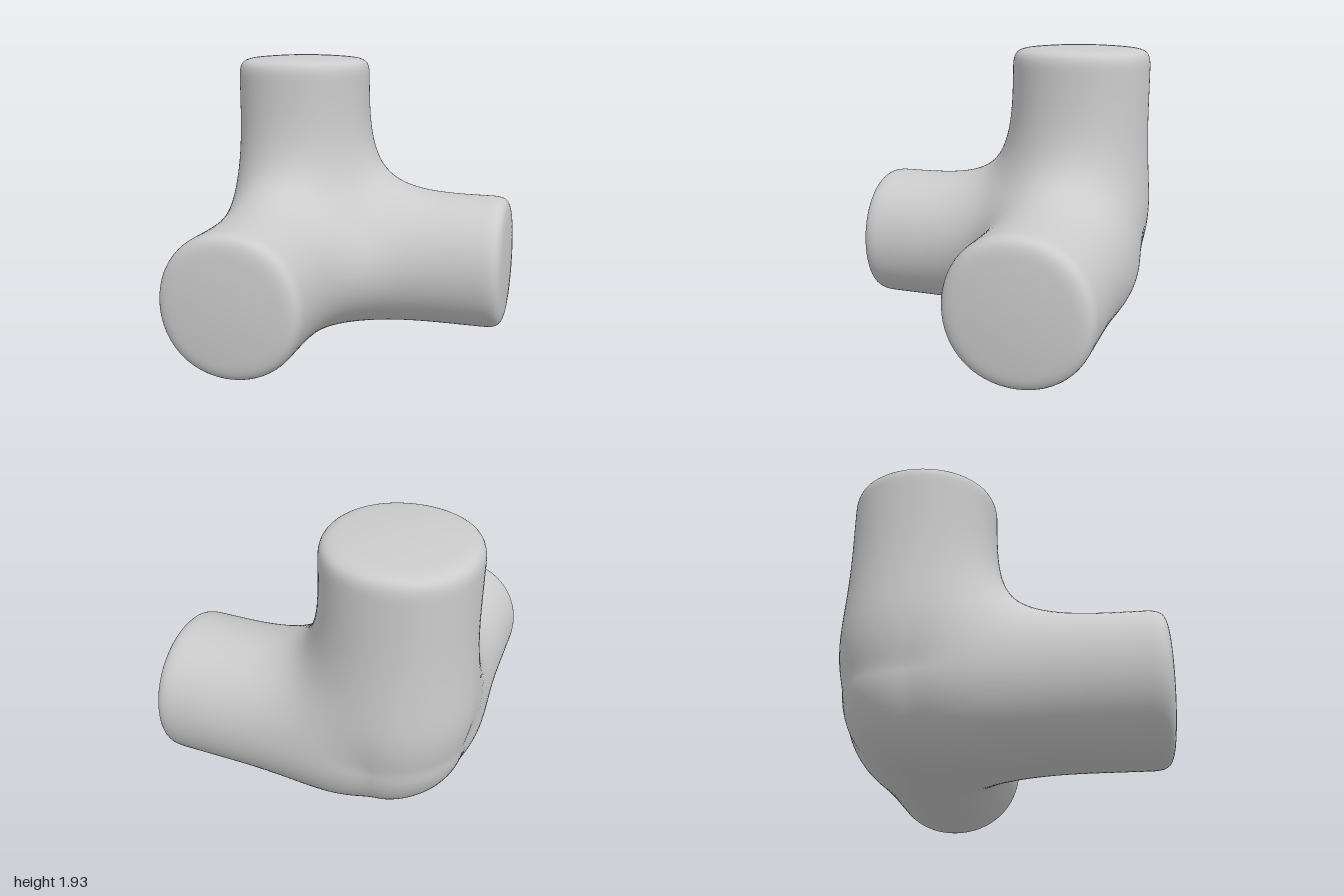
import * as THREE from 'three';

const R = 0.465;                       // pipe radius
const EDGE = 0.14;                     // reach of the soft rounding at the pipe ends
const LENGTHS = [1.515, 1.43, 1.515];  // arms along x, y, z from the corner
const CENTRE = [-0.517, 0.485, -0.517];
const AROUND = 96;

// Cubic rounding amount where two distances differ by diff, reaching as far as k.
const rounding = (diff, k) => k / 6 * (Math.max(k - Math.abs(diff), 0) / k) ** 3;

// Distance and side normal of one arm: slightly squared round section,
// narrowing into a soft knob at the corner.
function arm(p, k) {
  const u = p[k], v = p[(k + 1) % 3], w = p[(k + 2) % 3];
  const rho = Math.hypot(v, w) + 1e-6;
  const back = Math.min(u, 0);
  const len = Math.hypot(rho, back);
  const n = [0, 0, 0];
  n[k] = back / len;
  n[(k + 1) % 3] = v / len;
  n[(k + 2) % 3] = w / len;
  const squared = rho * (1 - 0.06 * (v * w / rho ** 2) ** 2);
  const narrowing = 0.035 * (1 - THREE.MathUtils.smoothstep(u, -0.35, 0.4));
  const side = Math.hypot(squared, 1.1 * back) - R + narrowing;
  const end = u - LENGTHS[k] + 0.03 * (rho / R) ** 2;
  return { d: Math.max(side, end) + rounding(side - end, EDGE), n };
}

// Smooth union: wide fillet where sides meet at an angle, tight where they run flush.
function blend(a, b) {
  const dot = a.n[0] * b.n[0] + a.n[1] * b.n[1] + a.n[2] * b.n[2];
  const turn = Math.min(1, Math.max(0, 1 - dot));
  const k = 0.06 + 0.86 * turn / (turn + 0.05) ** 0.65;
  const h = Math.min(1, Math.max(0, 0.5 + 0.5 * (b.d - a.d) / k));
  const n = a.n.map((c, i) => c * h + b.n[i] * (1 - h));
  const len = Math.hypot(...n) + 1e-9;
  return { d: Math.min(a.d, b.d) - rounding(a.d - b.d, k), n: n.map((c) => c / len) };
}

function field(p) {
  const [a, b, c] = [0, 1, 2].map((k) => arm(p, k));
  return (blend(blend(a, b), c).d + blend(blend(b, c), a).d + blend(blend(c, a), b).d) / 3;
}

// Surface point along a ray from the corner.
function hit(dir) {
  const len = Math.hypot(...dir);
  let lo = 0.2, hi = 2.2;
  for (let i = 0; i < 26; i++) {
    const mid = (lo + hi) / 2;
    if (field(dir.map((c) => c / len * mid)) < 0) lo = mid; else hi = mid;
  }
  return dir.map((c) => c / len * lo);
}

function normalAt(p) {
  const e = 0.01;
  return new THREE.Vector3(...[0, 1, 2].map((i) => {
    const a = [...p], b = [...p];
    a[i] += e;
    b[i] -= e;
    return field(a) - field(b);
  })).normalize();
}

// Profile of an arm as (along, radius) targets, from its seam to the cap centre.
function profile(start, length) {
  const pts = [];
  for (let i = 0; i < 44; i++) pts.push([start + (length - EDGE - start) * i / 44, R]);
  for (let i = 0; i <= 12; i++) {
    const a = i / 12 * Math.PI / 2;
    pts.push([length - EDGE + EDGE * Math.sin(a), R - EDGE + EDGE * Math.cos(a)]);
  }
  for (let i = 1; i <= 8; i++) pts.push([length, (R - EDGE) * (1 - i / 8)]);
  return pts;
}

function armGeometry(k) {
  const pos = [], nor = [], index = [];
  let rows = 0;
  for (let j = 0; j <= AROUND; j++) {
    const phi = j / AROUND * Math.PI * 2;
    const c = Math.cos(phi), s = Math.sin(phi);
    // The seam follows the planes halfway between neighbouring arms
    const pts = profile(R * Math.max(c, s), LENGTHS[k]);
    rows = pts.length;
    for (const [along, rad] of pts) {
      const dir = [0, 0, 0];
      dir[k] = along;
      dir[(k + 1) % 3] = rad * c;
      dir[(k + 2) % 3] = rad * s;
      const p = hit(dir);
      pos.push(...p.map((v, i) => v + CENTRE[i]));
      nor.push(...normalAt(p).toArray());
    }
  }
  for (let j = 0; j < AROUND; j++) {
    for (let i = 0; i < rows - 1; i++) {
      const a = j * rows + i, b = a + rows;
      index.push(a, b, a + 1);
      if (i < rows - 2) index.push(b, b + 1, a + 1);
    }
  }
  const g = new THREE.BufferGeometry();
  g.setAttribute('position', new THREE.Float32BufferAttribute(pos, 3));
  g.setAttribute('normal', new THREE.Float32BufferAttribute(nor, 3));
  g.setIndex(index);
  return g;
}

export function createModel() {
  const group = new THREE.Group();
  group.name = 'threeWayPipeCorner';
  const material = new THREE.MeshStandardMaterial({ color: 0xcccccc });
  ['sideArm', 'uprightArm', 'frontArm'].forEach((name, k) => {
    const mesh = new THREE.Mesh(armGeometry(k), material);
    mesh.name = name;
    group.add(mesh);
  });
  return group;
}
